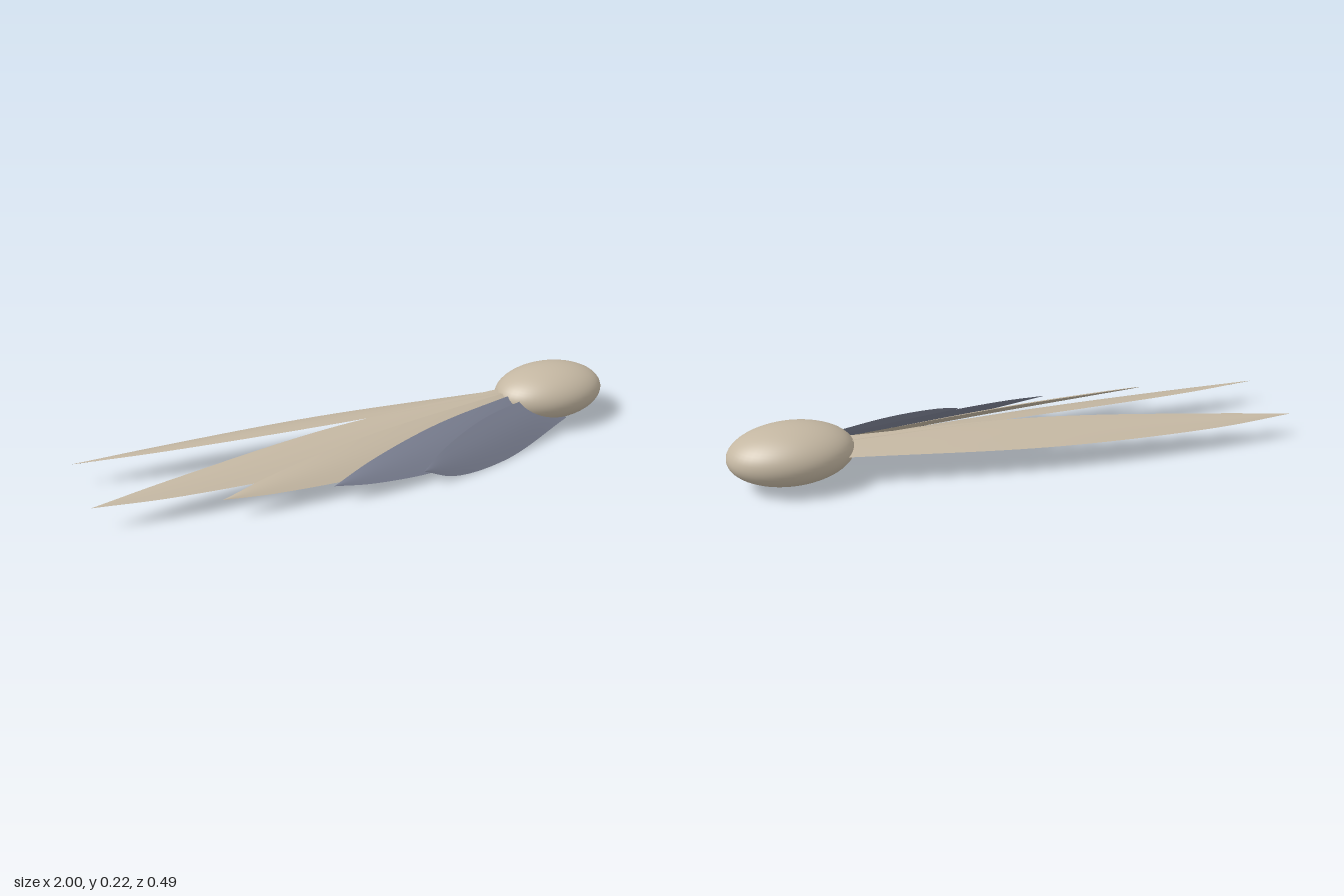
import * as THREE from 'three';

const edgeCurve = (points) => new THREE.CatmullRomCurve3(points.map((p) => new THREE.Vector3(...p)));

// Lens-shaped blade lofted between a rear and a front edge that meet at the tip
function featherGeometry(tip, rear, front, half = 0.007, nu = 40, nv = 12) {
  const rearCurve = edgeCurve([tip, ...rear]);
  const frontCurve = edgeCurve([tip, ...front]);
  const pos = [], idx = [];
  for (const side of [1, -1]) {
    const base = pos.length / 3;
    for (let i = 0; i <= nu; i++) {
      const u = Math.pow(i / nu, 1.3);
      const a = rearCurve.getPointAt(u), b = frontCurve.getPointAt(u);
      const along = rearCurve.getTangentAt(u).add(frontCurve.getTangentAt(u));
      const across = b.clone().sub(a);
      if (i === 0) across.set(0, -0.4, 1);
      const normal = across.cross(along).normalize();
      const swell = half * Math.pow(Math.max(0, Math.sin(Math.PI * u)), 0.6);
      for (let j = 0; j <= nv; j++) {
        const v = j / nv;
        const p = a.clone().lerp(b, v).addScaledVector(normal, side * swell * Math.sin(Math.PI * v));
        pos.push(p.x, p.y, p.z);
        if (i < nu && j < nv) {
          const k = base + i * (nv + 1) + j, n = k + nv + 1;
          if (side > 0) idx.push(k, k + 1, n, k + 1, n + 1, n);
          else idx.push(k, n, k + 1, k + 1, n, n + 1);
        }
      }
    }
  }
  const g = new THREE.BufferGeometry();
  g.setAttribute('position', new THREE.Float32BufferAttribute(pos, 3));
  g.setIndex(idx);
  g.computeVertexNormals();
  return g;
}

export function createModel() {
  const tan = new THREE.MeshStandardMaterial({ name: 'warm tan', color: 0xc4b7a2, side: THREE.DoubleSide });
  const slate = new THREE.MeshStandardMaterial({ name: 'slate blue', color: 0x7b8092, side: THREE.DoubleSide });
  const group = new THREE.Group();
  group.name = 'wing';

  // Rounded shoulder that hides the feather roots
  const shoulder = new THREE.Mesh(new THREE.SphereGeometry(1, 48, 32), tan);
  shoulder.name = 'shoulder';
  shoulder.scale.set(0.215, 0.101, 0.148);
  shoulder.position.set(0.78, 0.121, -0.064);
  group.add(shoulder);

  const addFeather = (name, material, tip, rear, front) => {
    const mesh = new THREE.Mesh(featherGeometry(tip, rear, front), material);
    mesh.name = name;
    group.add(mesh);
  };

  // Feathers fan from back to front, rolling steeper and getting shorter
  addFeather('rearLongFeather', tan, [-1, 0.095, -0.225],
    [[-0.7, 0.09, -0.246], [-0.1, 0.097, -0.235], [0.62, 0.115, -0.14]],
    [[-0.7, 0.11, -0.165], [-0.1, 0.139, -0.078], [0.62, 0.15, -0.045]]);
  addFeather('longFeather', tan, [-1, 0.095, 0.09],
    [[-0.7, 0.109, 0.028], [-0.1, 0.139, -0.057], [0.62, 0.15, -0.09]],
    [[-0.7, 0.086, 0.115], [-0.1, 0.084, 0.112], [0.62, 0.11, 0.01]]);
  addFeather('middleFeather', tan, [-0.585, 0.083, 0.185],
    [[-0.38, 0.108, 0.125], [0, 0.137, 0.043], [0.62, 0.15, -0.055]],
    [[-0.38, 0.071, 0.195], [0.05, 0.06, 0.172], [0.64, 0.09, 0.03]]);
  addFeather('slateFeather', slate, [-0.21, 0.075, 0.23],
    [[-0.04, 0.107, 0.162], [0.25, 0.138, 0.064], [0.66, 0.15, -0.04]],
    [[-0.05, 0.053, 0.232], [0.25, 0.033, 0.195], [0.68, 0.06, 0.05]]);
  addFeather('frontSlateFeather', slate, [0.12, 0.065, 0.24],
    [[0.22, 0.1, 0.182], [0.42, 0.135, 0.088], [0.7, 0.14, -0.01]],
    [[0.24, 0.019, 0.237], [0.48, 0.006, 0.18], [0.8, 0.05, 0.05]]);
  return group;
}
